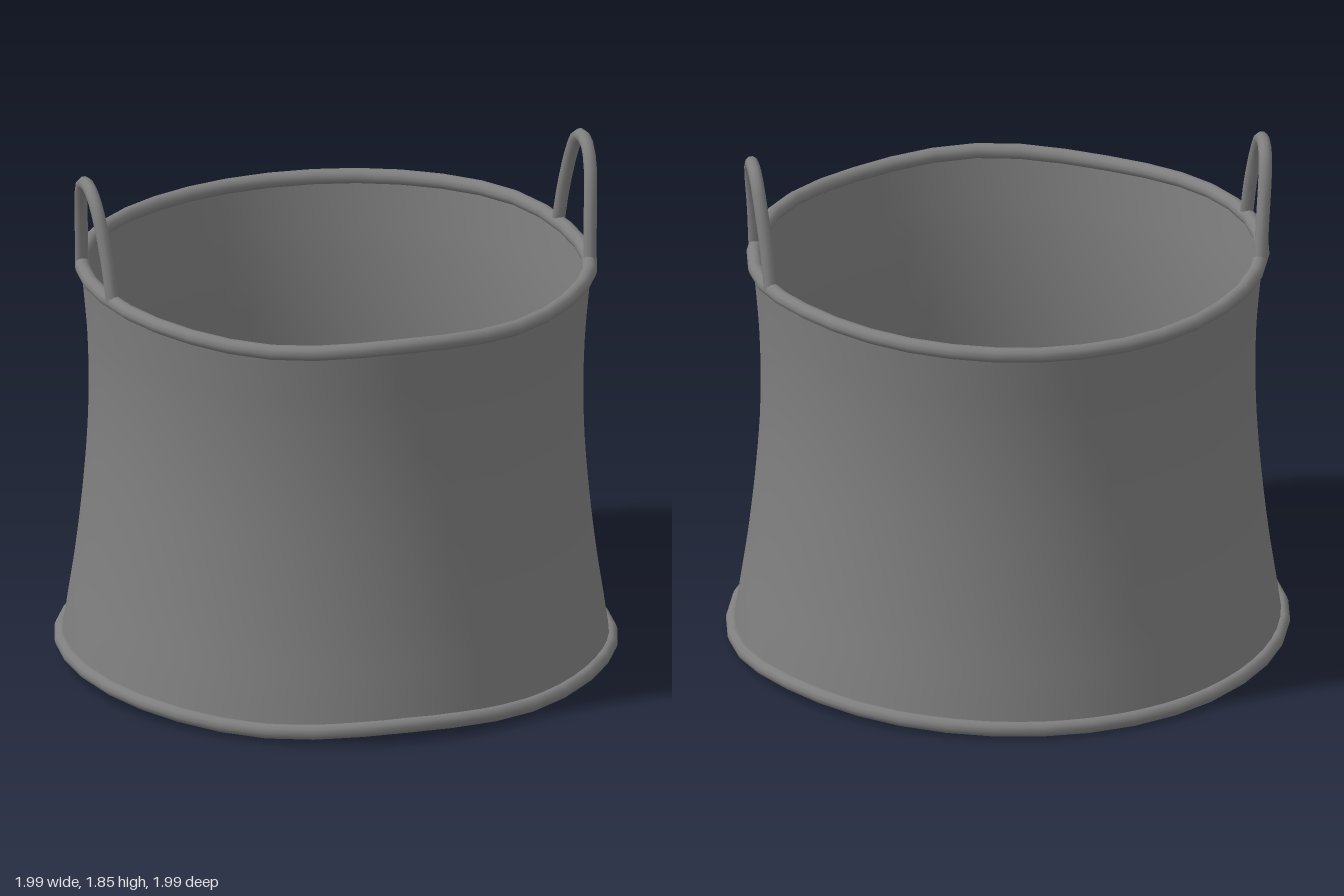
import * as THREE from 'three';

const material = new THREE.MeshStandardMaterial({ color: 0x7f7f7f, side: THREE.DoubleSide });

// Height of the hand-made wobble every 30 degrees, from +x towards +z
const WOBBLE = [0.034, 0.052, 0.046, 0.064, 0.043, 0.057, 0.066, 0.05, 0.034, 0.034, 0.045, 0.055];
const TOP_RADIUS = 0.897;
const TOP_HEIGHT = 1.402;

function wobble(x, z) {
  const n = WOBBLE.length;
  const t = ((Math.atan2(z, x) / (Math.PI * 2) + 1) % 1) * n;
  const i = Math.floor(t), f = t - i;
  const [a, b, c, d] = [-1, 0, 1, 2].map((k) => WOBBLE[(i + k + n) % n]);
  return b + 0.5 * f * (c - a + f * (2 * a - 5 * b + 4 * c - d + f * (3 * (b - c) + d - a)));
}

// Lathe whose rings follow the wobble, fading to the mean at the centre
function wobblyLathe(name, points) {
  const geometry = new THREE.LatheGeometry(points, 64);
  const p = geometry.attributes.position;
  for (let i = 0; i < p.count; i++) {
    const x = p.getX(i), z = p.getZ(i);
    const k = Math.min(1, Math.hypot(x, z) / 0.85);
    p.setY(i, p.getY(i) + THREE.MathUtils.lerp(0.05, wobble(x, z), k));
  }
  const mesh = new THREE.Mesh(geometry, material);
  mesh.name = name;
  return mesh;
}

// Round cord running along a wobbly ring
function rim(name, radius, y) {
  const points = [];
  for (let i = 0; i < 36; i++) {
    const a = (i / 36) * Math.PI * 2;
    const x = Math.cos(a) * radius, z = Math.sin(a) * radius;
    points.push(new THREE.Vector3(x, y + wobble(x, z), z));
  }
  const curve = new THREE.CatmullRomCurve3(points, true);
  const mesh = new THREE.Mesh(new THREE.TubeGeometry(curve, 36, 0.027, 10, true), material);
  mesh.name = name;
  return mesh;
}

// Arched loop leaning slightly outwards, its ends sunk into the rim
function handle(name, side) {
  const foot = (z) => {
    const x = side * Math.sqrt(TOP_RADIUS ** 2 - z ** 2);
    return new THREE.Vector3(x, TOP_HEIGHT + wobble(x, z), z);
  };
  const arch = [[0.172, 1.6], [0.115, 1.755], [0.055, 1.82], [-0.02, 1.834],
    [-0.085, 1.808], [-0.13, 1.74], [-0.178, 1.6]];
  const points = arch.map(([z, y]) =>
    new THREE.Vector3(side * (0.866 + (y - 1.44) * 0.105), y, z));
  const curve = new THREE.CatmullRomCurve3([foot(0.205), ...points, foot(-0.215)]);
  const mesh = new THREE.Mesh(new THREE.TubeGeometry(curve, 20, 0.024, 10), material);
  mesh.name = name;
  return mesh;
}

export function createModel() {
  const group = new THREE.Group();
  group.name = 'basket';

  // Thin waisted wall
  const profile = [[0.967, 0], [0.947, 0.14], [0.92, 0.32], [0.895, 0.54], [0.878, 0.76],
    [0.873, 0.95], [0.878, 1.13], [0.89, 1.28], [0.902, TOP_HEIGHT]];
  const curve = new THREE.SplineCurve(profile.map(([r, y]) => new THREE.Vector2(r, y)));
  group.add(wobblyLathe('wall', curve.getPoints(32)));

  // Floor
  group.add(wobblyLathe('floor', [0, 0.4, 0.7, 0.967].map((r) => new THREE.Vector2(r, 0))));

  // Corded edges
  group.add(rim('bottomRim', 0.97, 0));
  group.add(rim('topRim', TOP_RADIUS, TOP_HEIGHT));

  group.add(handle('leftHandle', 1));
  group.add(handle('rightHandle', -1));
  return group;
}
